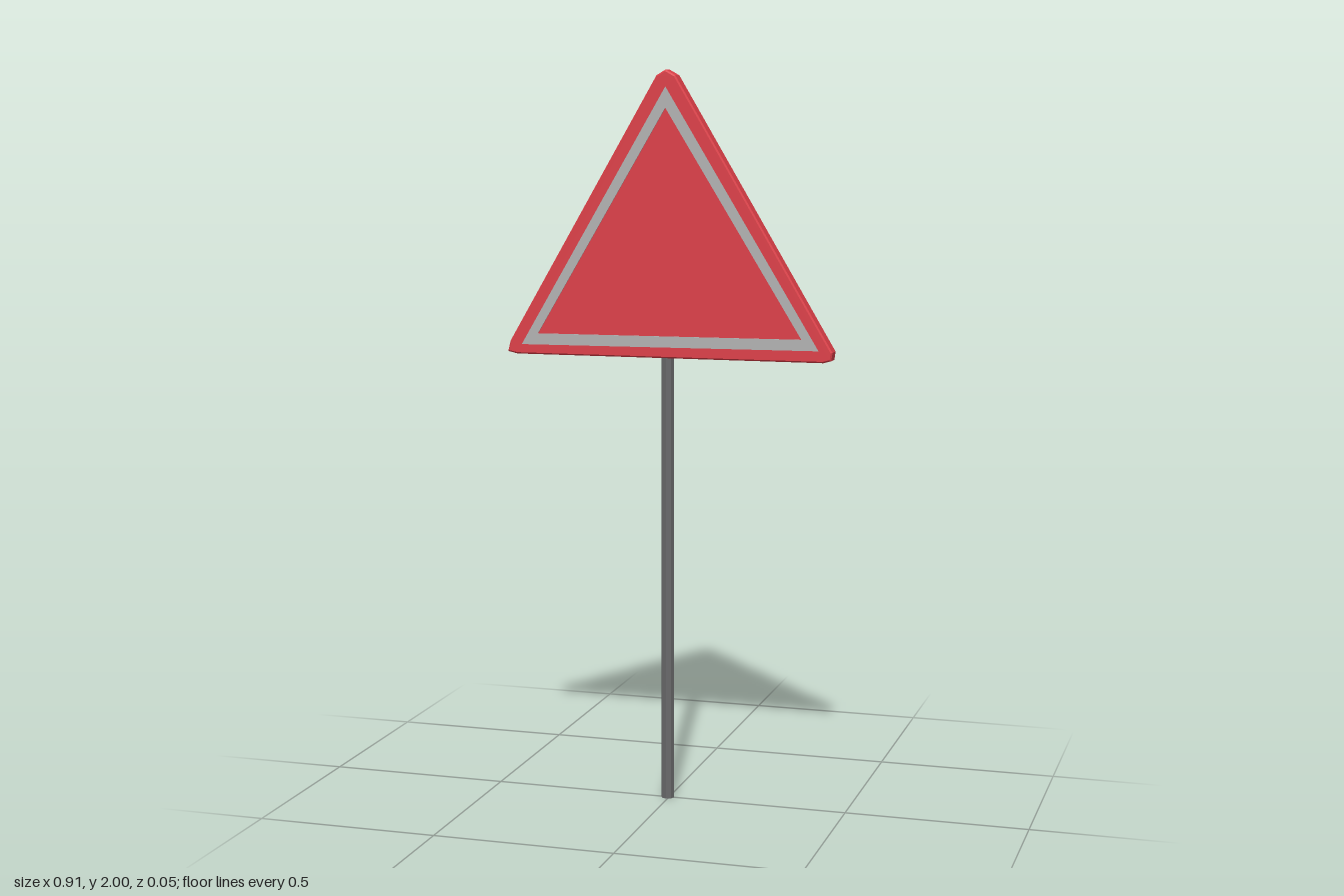
import * as THREE from 'three';

const toVectors = (points) => points.map(([x, y]) => new THREE.Vector2(x, y));

function makeMesh(name, geometry, color) {
  const material = new THREE.MeshStandardMaterial({ color, flatShading: true });
  const mesh = new THREE.Mesh(geometry, material);
  mesh.name = name;
  return mesh;
}

export function createModel() {
  const model = new THREE.Group();
  model.name = 'warningSign';

  // Triangular plate with blunted corners and a slim bevel on both faces
  const outline = toVectors([
    [-0.43, 1.23], [0.43, 1.232], [0.452, 1.238], [0.455, 1.26],
    [0.022, 1.985], [-0.005, 2], [-0.03, 1.985],
    [-0.45, 1.265], [-0.457, 1.236],
  ]);
  const bevel = 0.004;
  const plateGeometry = new THREE.ExtrudeGeometry(new THREE.Shape(outline), {
    depth: 0.038,
    bevelEnabled: true,
    bevelThickness: bevel,
    bevelSize: bevel,
    bevelOffset: -bevel,
    bevelSegments: 1,
  });
  plateGeometry.translate(0, 0, -0.021);
  model.add(makeMesh('plate', plateGeometry, 0xdd3f48));

  // Thin triangular stripe set just proud of the front face
  const stripe = new THREE.Shape(toVectors([[-0.415, 1.257], [0.418, 1.264], [-0.004, 1.955]]));
  stripe.holes.push(new THREE.Path(toVectors([[-0.368, 1.288], [-0.004, 1.9], [0.372, 1.293]])));
  const stripeGeometry = new THREE.ExtrudeGeometry(stripe, { depth: 0.004, bevelEnabled: false });
  stripeGeometry.translate(0, 0, 0.02);
  model.add(makeMesh('borderStripe', stripeGeometry, 0xb2b2b2));

  // Slender post ending just inside the plate's lower edge
  const postHeight = 1.245;
  const post = makeMesh('post', new THREE.CylinderGeometry(0.018, 0.018, postHeight, 8), 0x68686a);
  post.position.set(-0.004, postHeight / 2, 0);
  model.add(post);

  return model;
}
